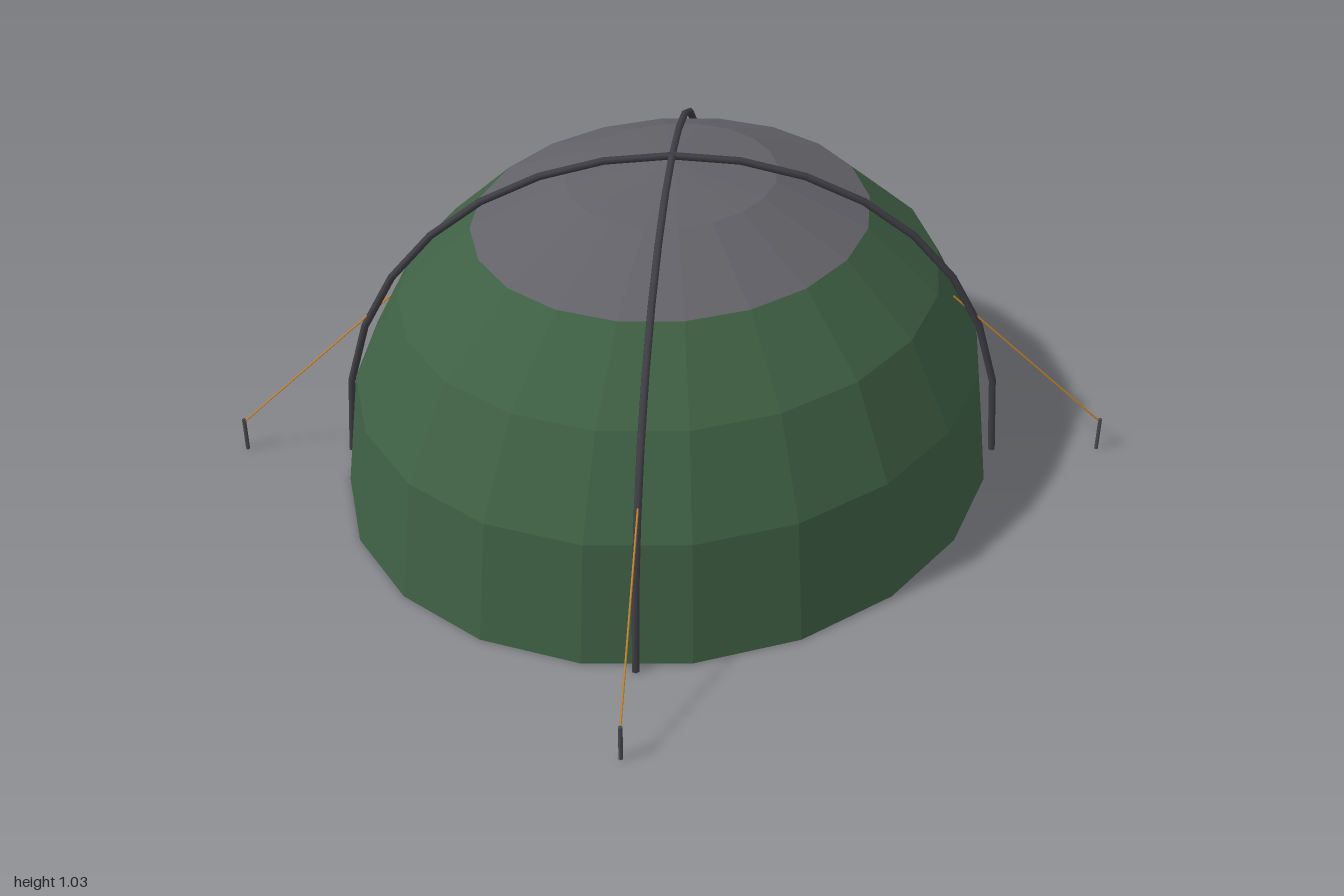
import * as THREE from 'three';

const DEPTH = 0.905;    // front-to-back squash of the dome
const RISE = 0.85;      // steepens the walls near the ground
const profile = (a) => [Math.cos(a), Math.pow(Math.max(0, Math.sin(a)), RISE)];

// Pole that follows the dome profile over one diagonal
class PoleArch extends THREE.Curve {
  constructor(side) {
    super();
    this.side = side;
  }
  getPoint(t, target = new THREE.Vector3()) {
    const [r, y] = profile(t * Math.PI);
    const s = 1.016;
    const d = r * s * Math.SQRT1_2;
    return target.set(d, y * s, d * DEPTH * this.side);
  }
  getPointAt(t, target) { return this.getPoint(t, target); }
  getTangentAt(t, target) { return this.getTangent(t, target); }
}

export function createModel() {
  const group = new THREE.Group();
  const mat = (name, color, extra = {}) => {
    const m = new THREE.MeshStandardMaterial({ color, ...extra });
    m.name = name;
    return m;
  };
  const shell = { flatShading: true, side: THREE.DoubleSide };
  const green = mat('greenFabric', 0x3f6044, shell);
  const grey = mat('greyFabric', 0x626268, shell);
  const poleMat = mat('darkPole', 0x3e3e44);
  const ropeMat = mat('orangeRope', 0xc8862f);
  const stakeMat = mat('stakeMetal', 0x4a4a4e);

  const add = (name, geometry, material) => {
    const mesh = new THREE.Mesh(geometry, material);
    mesh.name = name;
    group.add(mesh);
    return mesh;
  };

  // Dome shell: rings every 18 degrees, 20 panels around, open underneath
  const dome = (name, from, to, material) => {
    const points = [];
    for (let i = from; i <= to; i++) {
      const [r, y] = profile((i * Math.PI) / 10);
      points.push(new THREE.Vector2(i === 5 ? 0 : r, y));
    }
    add(name, new THREE.LatheGeometry(points, 20).scale(1, 1, DEPTH), material);
  };
  dome('tentWall', 0, 3, green);
  dome('roofCap', 3, 5, grey);

  // Crossed poles
  for (const side of [1, -1]) {
    add('pole', new THREE.TubeGeometry(new PoleArch(side), 16, 0.011, 6), poleMat);
  }

  // Guy lines and stakes at the four corners
  for (const sx of [1, -1]) {
    for (const sz of [1, -1]) {
      const top = new THREE.Vector3(0.6 * sx, 0.555, 0.545 * sz);
      const end = new THREE.Vector3(0.955 * sx, 0.1, 0.863 * sz);
      add('guyLine', new THREE.TubeGeometry(new THREE.LineCurve3(top, end), 1, 0.003, 5), ropeMat);
      add('stake', new THREE.CylinderGeometry(0.006, 0.006, 0.11, 6), stakeMat)
        .position.set(end.x, 0.055, end.z);
    }
  }
  return group;
}
